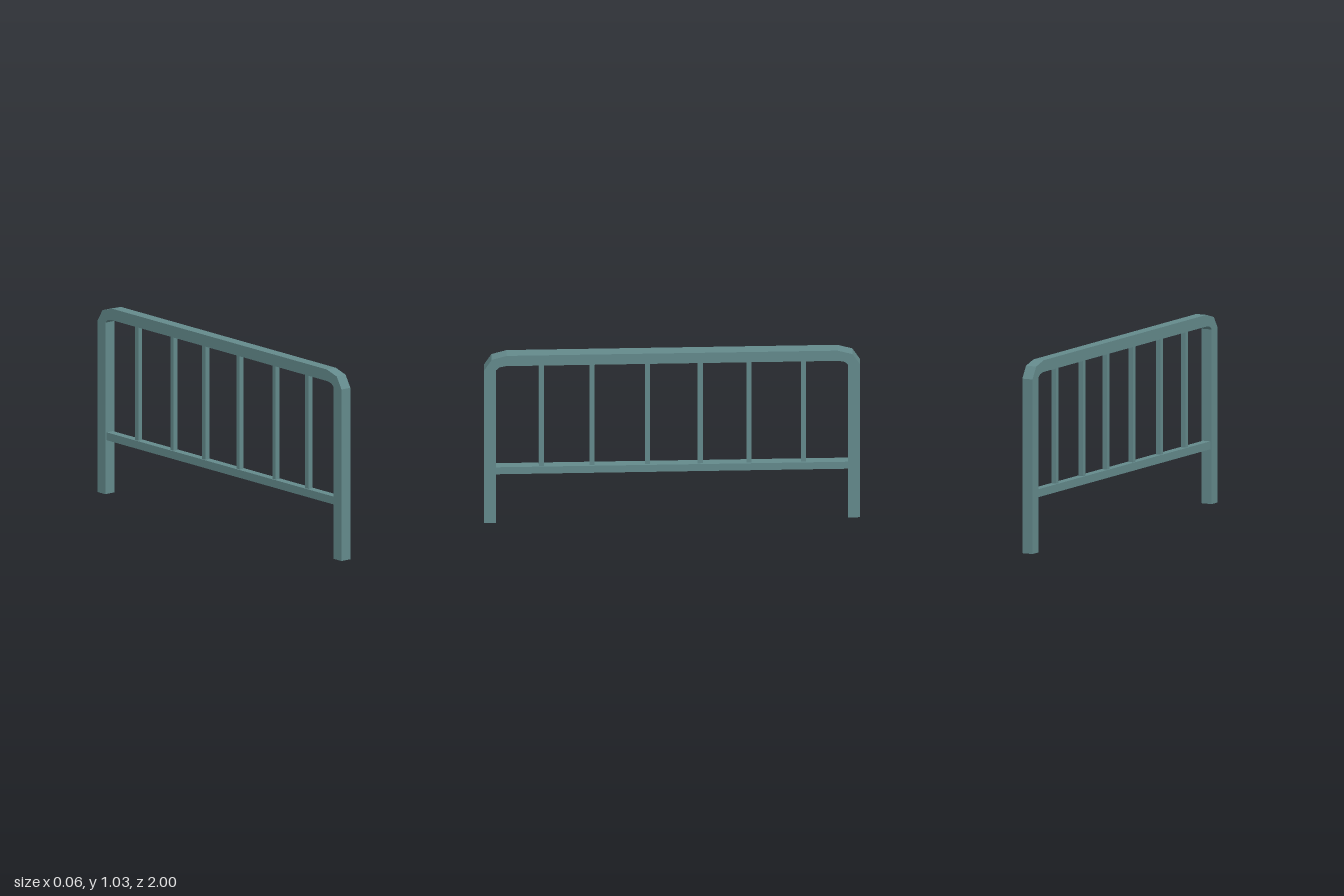
import * as THREE from 'three';

const steel = new THREE.MeshStandardMaterial({ color: 0x648a8c, side: THREE.DoubleSide });
steel.name = 'grey teal paint';

// Square tube with open feet, lofted through outer/inner pairs of [z, y]
function bentTube(sections, halfWidth) {
  const rings = sections.map(([oz, oy, iz, iy]) => [
    [halfWidth, oy, oz], [-halfWidth, oy, oz], [-halfWidth, iy, iz], [halfWidth, iy, iz],
  ]);
  const points = [];
  for (let i = 0; i < rings.length - 1; i++) {
    const a = rings[i], b = rings[i + 1];
    for (let k = 0; k < 4; k++) {
      const n = (k + 1) % 4;
      points.push(...a[k], ...b[n], ...a[n], ...a[k], ...b[k], ...b[n]);
    }
  }
  const geometry = new THREE.BufferGeometry();
  geometry.setAttribute('position', new THREE.Float32BufferAttribute(points, 3));
  geometry.computeVertexNormals();
  return geometry;
}

export function createModel() {
  const group = new THREE.Group();
  group.name = 'railing';
  const add = (name, geometry, y = 0, z = 0) => {
    const mesh = new THREE.Mesh(geometry, steel);
    mesh.name = name;
    mesh.position.set(0, y, z);
    group.add(mesh);
  };

  // Outer frame: two posts and a top rail with bevelled bends
  const half = [
    [1, 0, 0.936, 0],
    [1, 0.94, 0.936, 0.94],
    [0.96, 1.004, 0.918, 0.957],
    [0.88, 1.027, 0.885, 0.964],
  ];
  const mirrored = half.map(([oz, oy, iz, iy]) => [-oz, oy, -iz, iy]).reverse();
  add('frame', bentTube([...half, ...mirrored], 0.031));

  // Lower rail between the posts
  add('lowerRail', new THREE.BoxGeometry(0.044, 0.043, 1.872), 0.316);

  // Upright bars
  const bottom = 0.337, top = 0.965;
  [0.695, 0.425, 0.13, -0.15, -0.41, -0.7].forEach((z, i) => {
    add(`bar${i + 1}`, new THREE.BoxGeometry(0.027, top - bottom, 0.027), (top + bottom) / 2, z);
  });
  return group;
}
